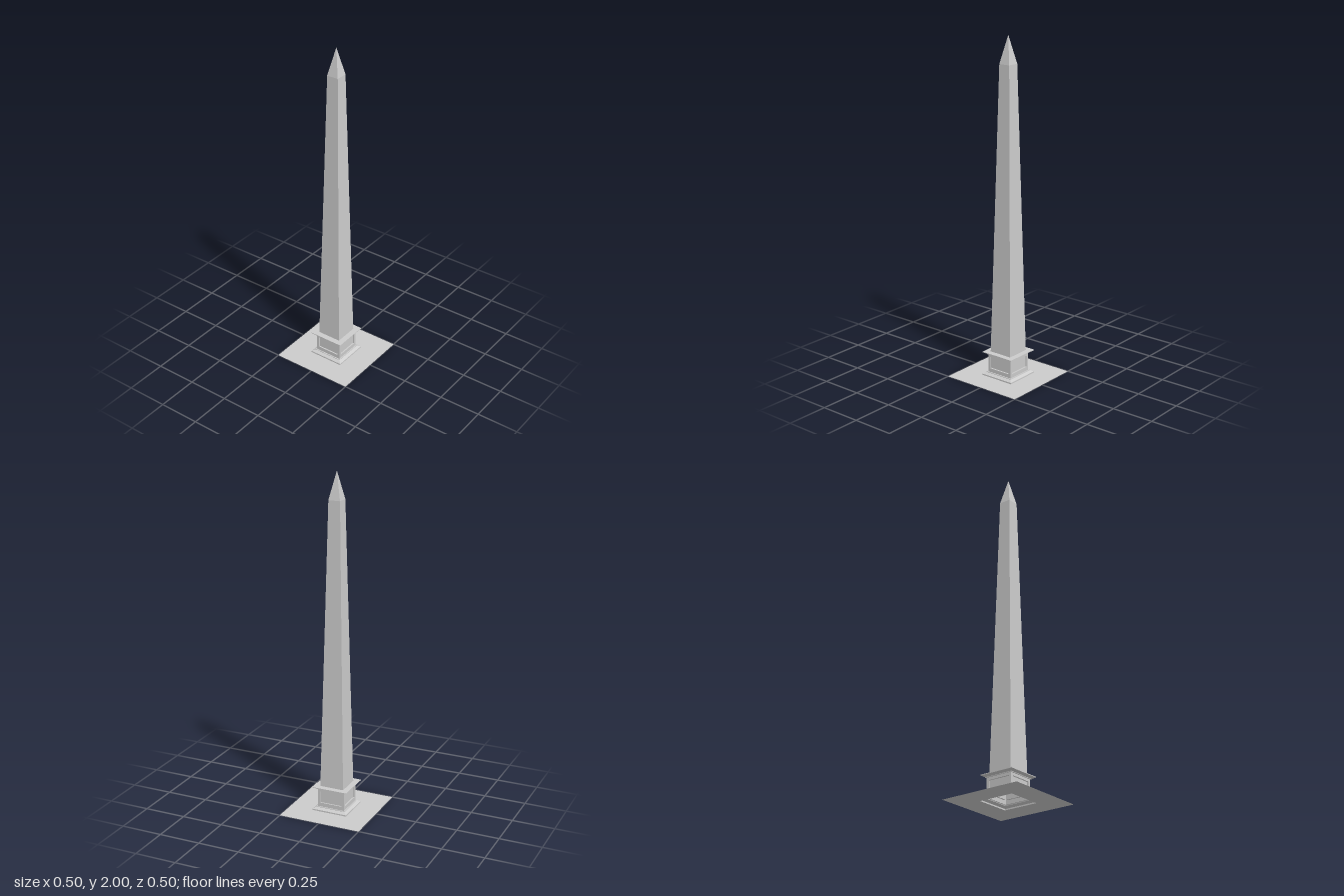
import * as THREE from 'three';

const material = new THREE.MeshStandardMaterial({
  color: 0xcccccc, flatShading: true, side: THREE.DoubleSide,
});

// Skin over rectangular rings [halfWidth, halfHeight, z, centreY], stacked along +z
function loft(rings) {
  const pos = [];
  const corner = ([w, h, z, cy = 0], i) => [
    [w, cy - h, z], [w, cy + h, z], [-w, cy + h, z], [-w, cy - h, z],
  ][i % 4];
  for (let k = 0; k + 1 < rings.length; k++) {
    for (let i = 0; i < 4; i++) {
      const a = corner(rings[k], i), b = corner(rings[k], i + 1);
      const c = corner(rings[k + 1], i + 1), d = corner(rings[k + 1], i);
      pos.push(...a, ...b, ...c);
      if (rings[k + 1][0] > 0) pos.push(...a, ...c, ...d);
    }
  }
  const geometry = new THREE.BufferGeometry();
  geometry.setAttribute('position', new THREE.Float32BufferAttribute(pos, 3));
  geometry.computeVertexNormals();
  return geometry;
}

// Square tower skin from a [halfWidth, y] profile
const tower = (profile) => loft(profile.map(([w, y]) => [w, w, y])).rotateX(-Math.PI / 2);

export function createModel() {
  const model = new THREE.Group();
  model.name = 'obelisk';
  const add = (name, geometry) => {
    const mesh = new THREE.Mesh(geometry, material);
    mesh.name = name;
    model.add(mesh);
    return mesh;
  };

  const base = 0.107, die = 0.083, dieBottom = 0.021, dieTop = 0.131, shaft = 0.073;

  // Thin ground slab, open under the hollow pedestal
  add('groundSlab', loft([[0.25, 0.25, 0], [base, base, 0]]).rotateX(-Math.PI / 2));

  // Plinth with sloped moulding
  add('plinth', tower([
    [base, 0], [base, 0.008], [0.105, 0.009], [0.09, 0.018], [0.09, dieBottom], [die, dieBottom],
  ]));

  // Four pedestal faces, each with a recessed panel
  const mid = (dieBottom + dieTop) / 2, half = (dieTop - dieBottom) / 2;
  const face = loft([
    [die, half, die, mid],
    [0.068, 0.035, die, 0.08],
    [0.068, 0.035, die - 0.008, 0.08],
    [0, 0, die - 0.008, 0.08],
  ]);
  for (let i = 0; i < 4; i++) add('pedestalFace' + (i + 1), face).rotation.y = i * Math.PI / 2;

  // Flared cornice with a flat top
  add('cornice', tower([
    [die, dieTop], [0.089, dieTop], [0.089, 0.134], [0.105, 0.142],
    [base, 0.143], [base, 0.147], [shaft, 0.147],
  ]));

  // Tapering shaft and pointed cap
  add('shaft', tower([[shaft, 0.147], [0.035, 1.84]]));
  add('pointedCap', tower([[0.035, 1.84], [0, 2]]));

  return model;
}
